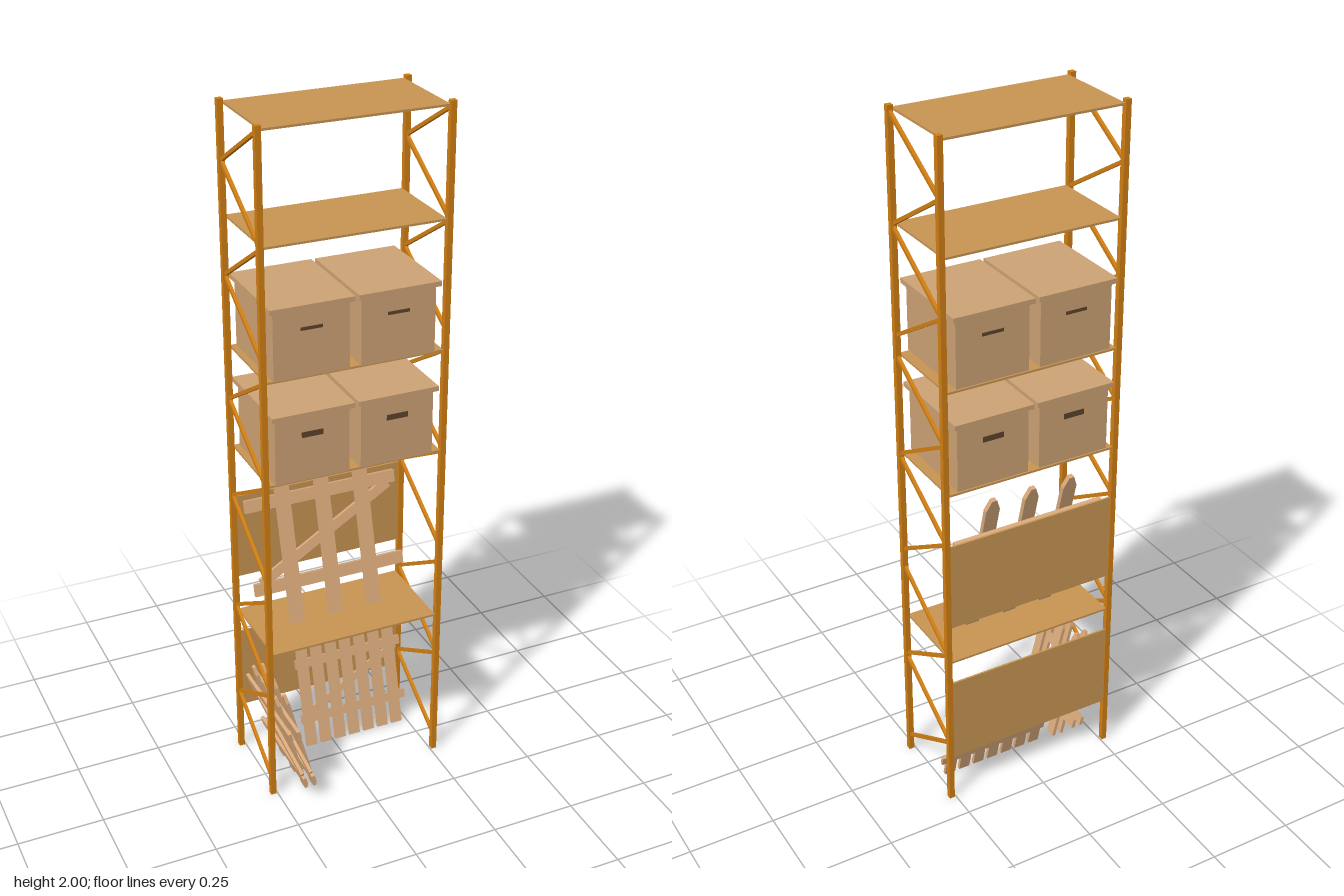
import * as THREE from 'three';

const material = (name, color) => Object.assign(new THREE.MeshStandardMaterial({ color }), { name });

export function createModel() {
  const frameMat = material('orange frame', 0xd17f14);
  const boardMat = material('shelf board', 0xc89553);
  const boxMat = material('cardboard', 0xcda274);
  const woodMat = material('fence wood', 0xd8a97b);
  const slotMat = material('handle slot', 0x5c432c);

  const model = new THREE.Group();
  model.name = 'storageRack';

  function box(parent, name, mat, w, h, d, x, y, z) {
    const mesh = new THREE.Mesh(new THREE.BoxGeometry(w, h, d), mat);
    mesh.name = name;
    mesh.position.set(x, y, z);
    parent.add(mesh);
    return mesh;
  }

  // Upright posts and zigzag side bracing
  const zFront = 0.088, zBack = -0.165;
  const braces = [ // front height, back height
    [1.985, 1.84], [1.69, 1.84], [1.685, 1.53], [1.38, 1.53], [1.32, 1.17], [1.025, 1.17],
    [1.015, 0.87], [0.715, 0.87], [0.66, 0.505], [0.355, 0.505], [0.345, 0.2], [0.05, 0.2],
  ];
  for (const side of [-1, 1]) {
    const x = side * 0.262;
    for (const z of [zFront, zBack]) box(model, 'post', frameMat, 0.016, 2, 0.016, x, 1, z);
    for (const [yf, yb] of braces) {
      const dz = zBack - zFront, dy = yb - yf;
      const bar = box(model, 'sideBrace', frameMat, 0.009, 0.01, Math.hypot(dz, dy),
        x, (yf + yb) / 2, (zFront + zBack) / 2);
      bar.rotation.x = Math.atan2(dy, -dz);
    }
  }

  // Level shelves, and two boards standing upright at the back
  for (const y of [0.482, 1.02, 1.322, 1.689, 1.988]) {
    box(model, 'shelf', boardMat, 0.507, 0.006, 0.262, 0, y, -0.039);
  }
  for (const y of [0.278, 0.73]) {
    box(model, 'backBoard', boardMat, 0.51, 0.262, 0.006, 0, y, -0.167);
  }

  // Lidded boxes with handle slots front and back
  function storageBox(x, y, slotHeight) {
    const g = new THREE.Group();
    g.name = 'storageBox';
    g.position.set(x, y, -0.034);
    box(g, 'boxBody', boxMat, 0.214, 0.192, 0.262, 0, 0.096, 0);
    box(g, 'boxLid', boxMat, 0.236, 0.014, 0.284, 0, 0.197, 0);
    for (const s of [-1, 1]) {
      box(g, 'handleSlot', slotMat, 0.062, slotHeight, 0.002, 0, 0.135, s * 0.1315);
    }
    model.add(g);
  }
  for (const x of [-0.129, 0.118]) {
    storageBox(x, 1.023, 0.016);
    storageBox(x, 1.325, 0.009);
  }

  // Picket fence panel: base on y = 0, pickets in front, rails and diagonal behind
  function fence(name, { count, spacing, width, height, tip, thick, railLength, railWidth, railX = 0 }) {
    const g = new THREE.Group();
    g.name = name;
    const w = width / 2, t = tip;
    const shape = new THREE.Shape([[-w, 0], [w, 0], [w, height - t], [w * 0.35, height],
      [-w * 0.35, height], [-w, height - t]].map(([x, y]) => new THREE.Vector2(x, y)));
    const geo = new THREE.ExtrudeGeometry(shape, { depth: thick, bevelEnabled: false });
    for (let i = 0; i < count; i++) {
      const picket = new THREE.Mesh(geo, woodMat);
      picket.name = 'picket';
      picket.position.set((i - (count - 1) / 2) * spacing, 0, -thick);
      g.add(picket);
    }
    const low = height * 0.235, high = height * 0.735;
    for (const y of [low, high]) {
      box(g, 'fenceRail', woodMat, railLength, railWidth, thick, railX, y, -thick * 1.5);
    }
    const dx = railLength * 0.9, dy = high - low - railWidth * 0.9;
    const diagonal = box(g, 'fenceDiagonal', woodMat, Math.hypot(dx, dy), railWidth * 0.8, thick * 0.9,
      railX, (low + high) / 2, -thick * 1.5);
    diagonal.rotation.z = Math.atan2(dy, dx);
    g.rotation.order = 'YXZ';
    model.add(g);
    return g;
  }

  // Large panel leaning back on the lowest shelf
  const large = { count: 3, spacing: 0.121, width: 0.042, height: 0.495, tip: 0.035,
    thick: 0.014, railLength: 0.465, railWidth: 0.036 };
  const middle = fence('middleFence', large);
  middle.position.set(-0.005, 0.489, -0.026);
  middle.rotation.x = -0.265;

  // Dense panel leaning back on the ground
  const dense = fence('denseFence', { count: 7, spacing: 0.0475, width: 0.034, height: 0.355, tip: 0.025,
    thick: 0.01, railLength: 0.345, railWidth: 0.027, railX: 0.01 });
  dense.position.set(0.073, 0.003, -0.065);
  dense.rotation.x = -0.25;

  // Two small panels leaning against the side
  const small = { count: 3, spacing: 0.082, width: 0.032, height: 0.352, tip: 0.025,
    thick: 0.01, railLength: 0.325, railWidth: 0.026 };
  for (const x of [-0.132, -0.159]) {
    const side = fence('sideFence', small);
    side.position.set(x, 0.003, 0.012);
    side.rotation.set(-0.25, Math.PI / 2, 0);
  }
  return model;
}
